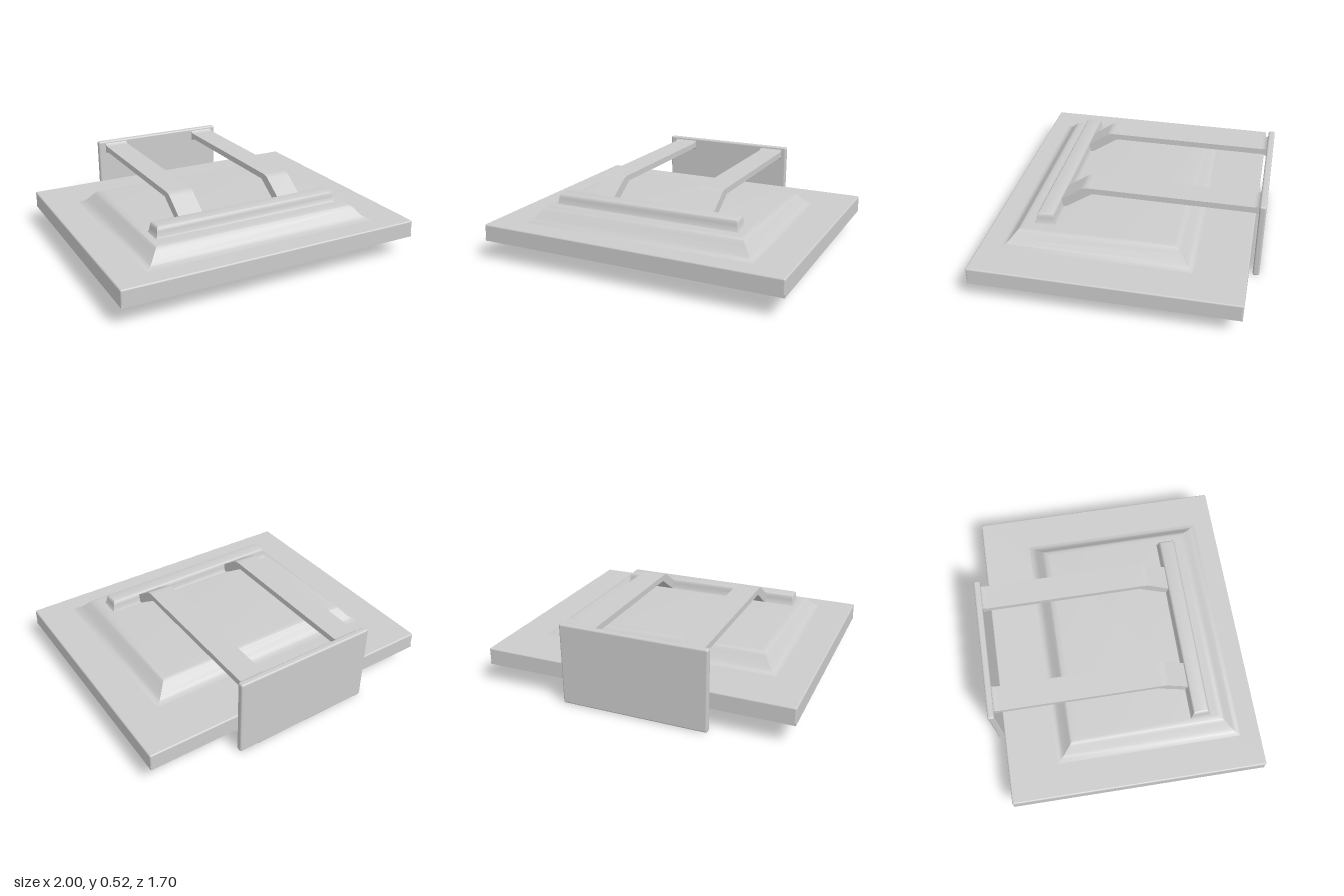
import * as THREE from 'three';
import { toCreasedNormals } from 'three/addons/utils/BufferGeometryUtils.js';
import { RoundedBoxGeometry } from 'three/addons/geometries/RoundedBoxGeometry.js';

const material = new THREE.MeshStandardMaterial({ color: 0xcccccc });

function add(group, name, geometry, x = 0, y = 0, z = 0) {
  const mesh = new THREE.Mesh(geometry, material);
  mesh.name = name;
  mesh.position.set(x, y, z);
  group.add(mesh);
  return mesh;
}

// box given by its limits, with softened edges
function softBox(group, name, [x0, x1], [y0, y1], [z0, z1], radius) {
  const geometry = new RoundedBoxGeometry(x1 - x0, y1 - y0, z1 - z0, 2, radius);
  return add(group, name, geometry, (x0 + x1) / 2, (y0 + y1) / 2, (z0 + z1) / 2);
}

// rectangular mound: the profile lists [outward offset, height] from bottom to top
function mound(halfX, halfZ, profile) {
  const points = [];
  const corners = [[-1, 1], [1, 1], [1, -1], [-1, -1]];
  const at = ([offset, y], [sx, sz]) => [sx * (halfX + offset), y, sz * (halfZ + offset)];
  for (let i = 0; i < profile.length - 1; i++) {
    for (let k = 0; k < 4; k++) {
      const c = corners[k], d = corners[(k + 1) % 4];
      const a = at(profile[i], c), b = at(profile[i], d);
      const e = at(profile[i + 1], d), f = at(profile[i + 1], c);
      points.push(...a, ...b, ...e, ...a, ...e, ...f);
    }
  }
  const [a, b, c, d] = corners.map((corner) => at(profile.at(-1), corner));
  points.push(...a, ...b, ...c, ...a, ...c, ...d);
  const geometry = new THREE.BufferGeometry();
  geometry.setAttribute('position', new THREE.Float32BufferAttribute(points, 3));
  return toCreasedNormals(geometry, 0.75);
}

function rectangle(Type, x0, x1, y0, y1) {
  return new Type([[x0, y0], [x1, y0], [x1, y1], [x0, y1]].map((p) => new THREE.Vector2(...p)));
}

export function createModel() {
  const model = new THREE.Group();
  model.name = 'monitorLyingFaceDown';

  // display panel, with a thin bezel around the downward screen
  softBox(model, 'panel', [-1, 1], [0.137, 0.24], [-0.79, 0.85], 0.01);
  const bezel = rectangle(THREE.Shape, -1, 1, -0.85, 0.79);
  bezel.holes.push(rectangle(THREE.Path, -0.95, 0.95, -0.8, 0.56));
  const bezelGeometry = new THREE.ExtrudeGeometry(bezel, { depth: 0.02, bevelEnabled: false });
  bezelGeometry.rotateX(-Math.PI / 2);
  add(model, 'bezel', bezelGeometry, 0, 0.13, 0);

  // raised rear housing with flared sides
  add(model, 'rearHousing', mound(0.665, 0.48, [
    [0.13, 0.237], [0.105, 0.242], [0.085, 0.253], [0.065, 0.27], [0.03, 0.312],
    [0.015, 0.327], [0, 0.334], [-0.02, 0.336],
  ]), -0.01, 0, 0.125);

  // bar to which the stand is fixed
  add(model, 'mountingBar', mound(0.605, 0.04, [
    [0.028, 0.33], [0.018, 0.345], [0.013, 0.375], [0.01, 0.394], [0.003, 0.402], [-0.006, 0.405],
  ]), -0.025, 0, 0.475);

  // bent stand arms: side profile in (z, y), extruded across x
  const arm = new THREE.Shape();
  arm.moveTo(0.425, 0.392);
  arm.lineTo(0.295, 0.482);
  arm.quadraticCurveTo(0.278, 0.494, 0.25, 0.495);
  arm.lineTo(-0.78, 0.495);
  arm.quadraticCurveTo(-0.805, 0.497, -0.815, 0.515);
  arm.lineTo(-0.815, 0.435);
  arm.quadraticCurveTo(-0.805, 0.453, -0.78, 0.456);
  arm.lineTo(0.225, 0.456);
  arm.lineTo(0.395, 0.342);
  arm.lineTo(0.43, 0.335);
  arm.closePath();
  const armGeometry = new THREE.ExtrudeGeometry(arm, { depth: 0.16, bevelEnabled: false, curveSegments: 5 });
  armGeometry.rotateY(-Math.PI / 2);
  // the turn maps profile x to z and depth to -x
  add(model, 'rightArm', armGeometry, -0.295);
  add(model, 'leftArm', armGeometry, 0.4);

  // upright foot plate of the stand
  softBox(model, 'footPlate', [-0.505, 0.435], [0, 0.525], [-0.853, -0.811], 0.012);

  // bumps on the lower bezel: central badge and a row of buttons
  const dome = new THREE.SphereGeometry(1, 24, 12);
  add(model, 'badge', dome, 0, 0.131, -0.675).scale.set(0.115, 0.034, 0.095);
  for (let i = 0; i < 5; i++) {
    add(model, 'button', dome, 0.49 + i * 0.1, 0.131, -0.68).scale.set(0.052, 0.015, 0.035);
  }
  add(model, 'powerButton', dome, 0.93, 0.131, -0.68).scale.set(0.05, 0.017, 0.04);
  return model;
}
